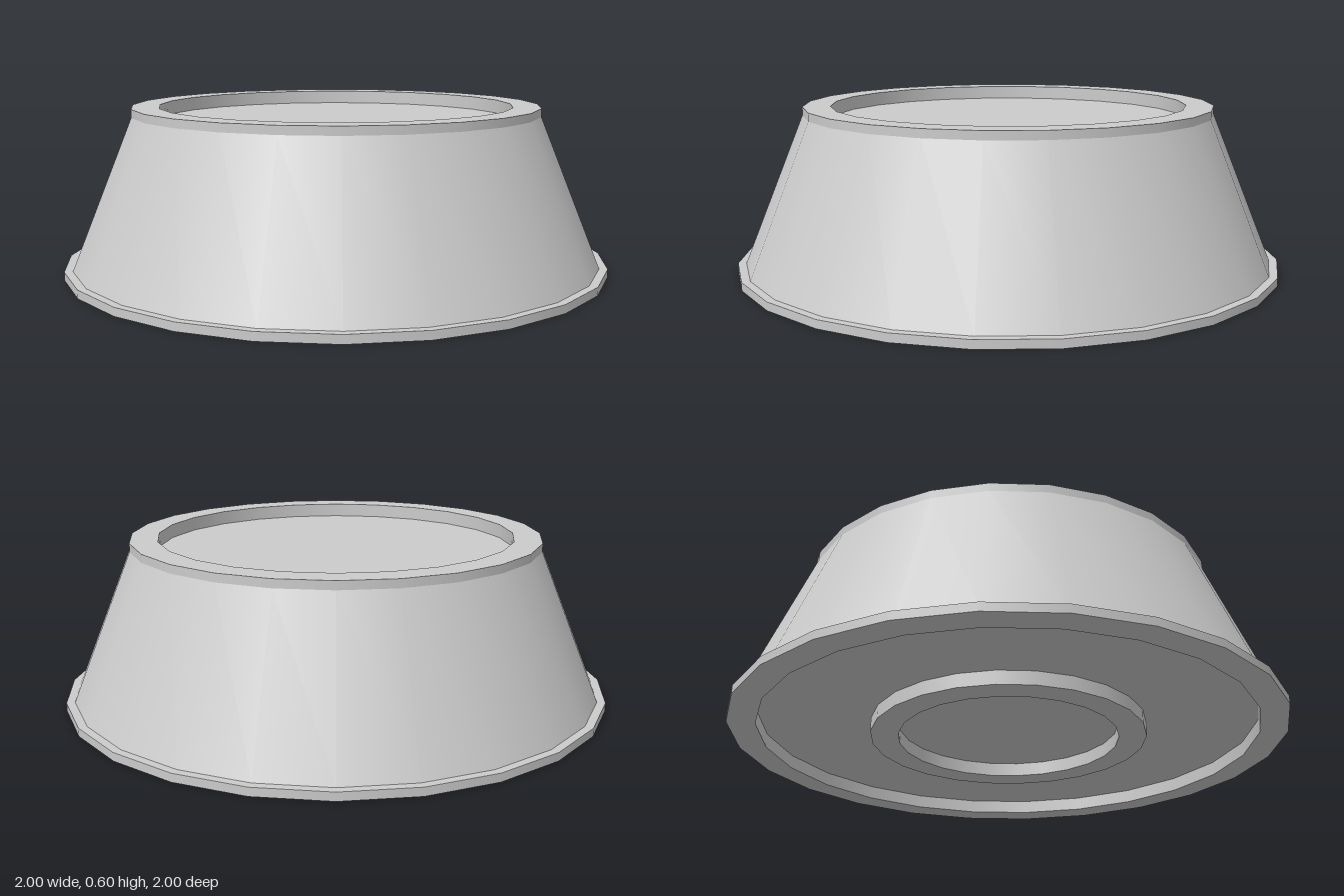
import * as THREE from 'three';

const SIDES = 24;

export function createModel() {
  const group = new THREE.Group();
  group.name = 'taperedBase';
  const material = new THREE.MeshStandardMaterial({ color: 0xcccccc });

  // Each profile span becomes its own lathe band, so the rims stay sharp
  // while every band is smooth around the axis.
  function turned(name, profile) {
    const part = new THREE.Group();
    part.name = name;
    for (let i = 0; i < profile.length - 1; i++) {
      const span = [profile[i], profile[i + 1]].map(([r, y]) => new THREE.Vector2(r, y));
      const band = new THREE.Mesh(new THREE.LatheGeometry(span, SIDES), material);
      band.name = `${name}Band${i + 1}`;
      part.add(band);
    }
    group.add(part);
  }

  // Hollow underside with a standing foot ring around the centre
  turned('underside', [[0, 0.05], [0.4, 0.05], [0.4, 0], [0.5, 0], [0.5, 0.05], [0.9, 0.05], [0.9, 0]]);
  // Thin flange at the floor
  turned('baseFlange', [[0.9, 0], [1, 0], [1, 0.03], [0.97, 0.03]]);
  // Sloping wall
  turned('taperedWall', [[0.97, 0.03], [0.75, 0.57]]);
  // Raised rim around the sunken top
  turned('topRim', [[0.75, 0.57], [0.75, 0.6], [0.65, 0.6], [0.65, 0.55]]);
  turned('topPanel', [[0.65, 0.55], [0, 0.55]]);

  return group;
}
